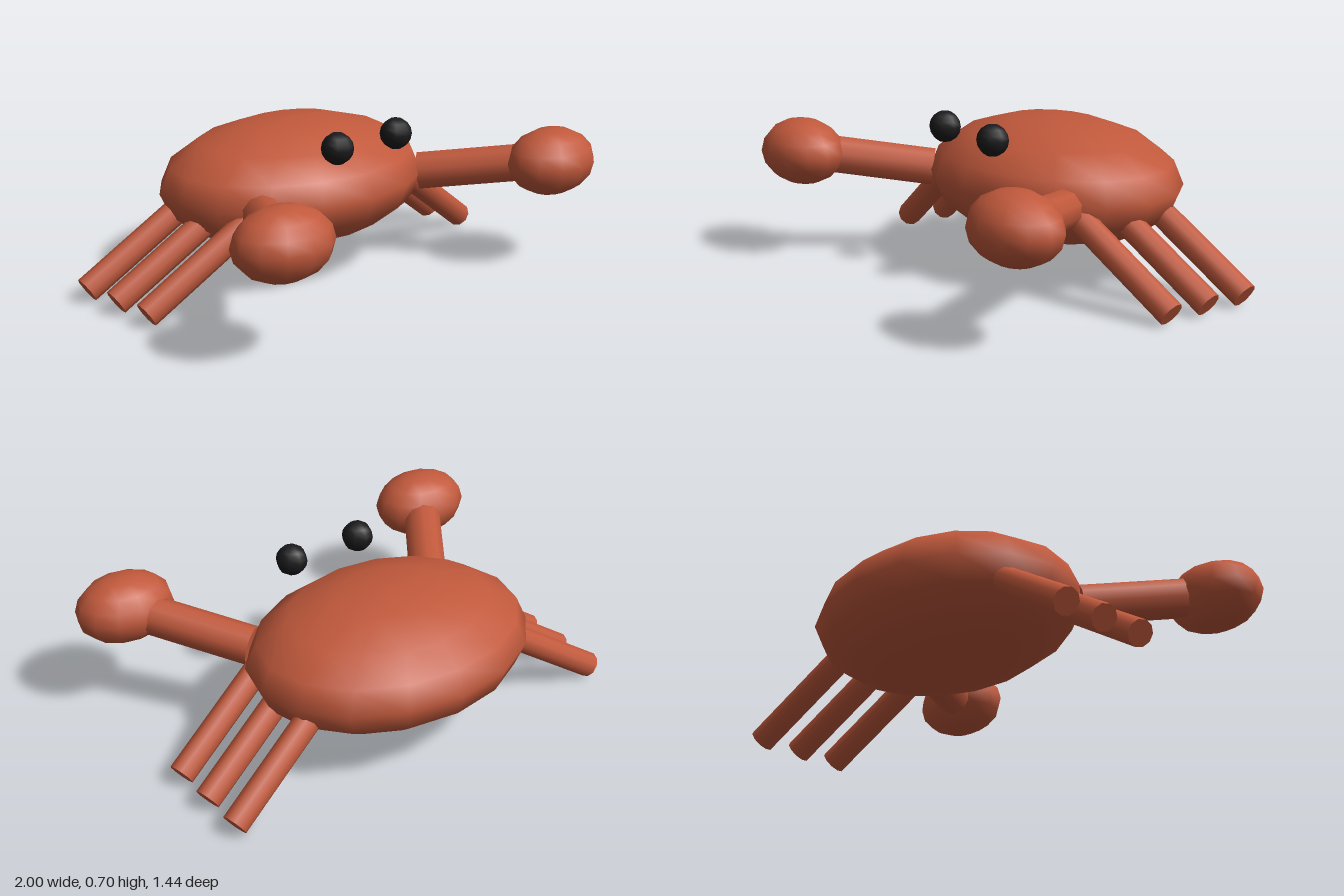
import * as THREE from 'three';

const shellMat = new THREE.MeshStandardMaterial({ color: 0xc1593c });
const eyeMat = new THREE.MeshStandardMaterial({ color: 0x1a1a1c });

// Ellipsoid with the given centre and radii
function ellipsoid(name, center, radii, widthSegs, heightSegs, mat) {
  const geo = new THREE.SphereGeometry(1, widthSegs, heightSegs);
  geo.scale(...radii);
  const mesh = new THREE.Mesh(geo, mat);
  mesh.name = name;
  mesh.position.set(...center);
  return mesh;
}

// Capped round limb running between two points
function limb(name, from, to, radius, sides) {
  const a = new THREE.Vector3(...from);
  const b = new THREE.Vector3(...to);
  const dir = b.clone().sub(a);
  const mesh = new THREE.Mesh(new THREE.CylinderGeometry(radius, radius, dir.length(), sides), shellMat);
  mesh.name = name;
  mesh.position.copy(a).add(b).multiplyScalar(0.5);
  mesh.quaternion.setFromUnitVectors(new THREE.Vector3(0, 1, 0), dir.normalize());
  return mesh;
}

export function createModel() {
  const crab = new THREE.Group();
  crab.name = 'crab';

  // Wide, flattened shell
  crab.add(ellipsoid('body', [0, 0.395, -0.235], [0.63, 0.265, 0.485], 16, 8, shellMat));

  for (const [side, s] of [['left', 1], ['right', -1]]) {
    // Eye hovering above the front rim
    crab.add(ellipsoid(side + 'Eye', [s * 0.17, 0.637, 0.21], [0.067, 0.067, 0.067], 8, 8, eyeMat));

    // Forward-reaching arm and claw
    crab.add(limb(side + 'Arm', [s * 0.46, 0.39, 0.08], [s * 0.755, 0.46, 0.5], 0.083, 10));
    crab.add(ellipsoid(side + 'Claw', [s * 0.783, 0.467, 0.55], [0.217, 0.144, 0.168], 12, 8, shellMat));

    // Three legs sloping out, down and back
    [-0.09, -0.285, -0.48].forEach((z, i) => {
      crab.add(limb(side + 'Leg' + (i + 1), [s * 0.45, 0.36, z + 0.1], [s * 0.925, 0.047, z], 0.055, 10));
    });
  }
  return crab;
}
